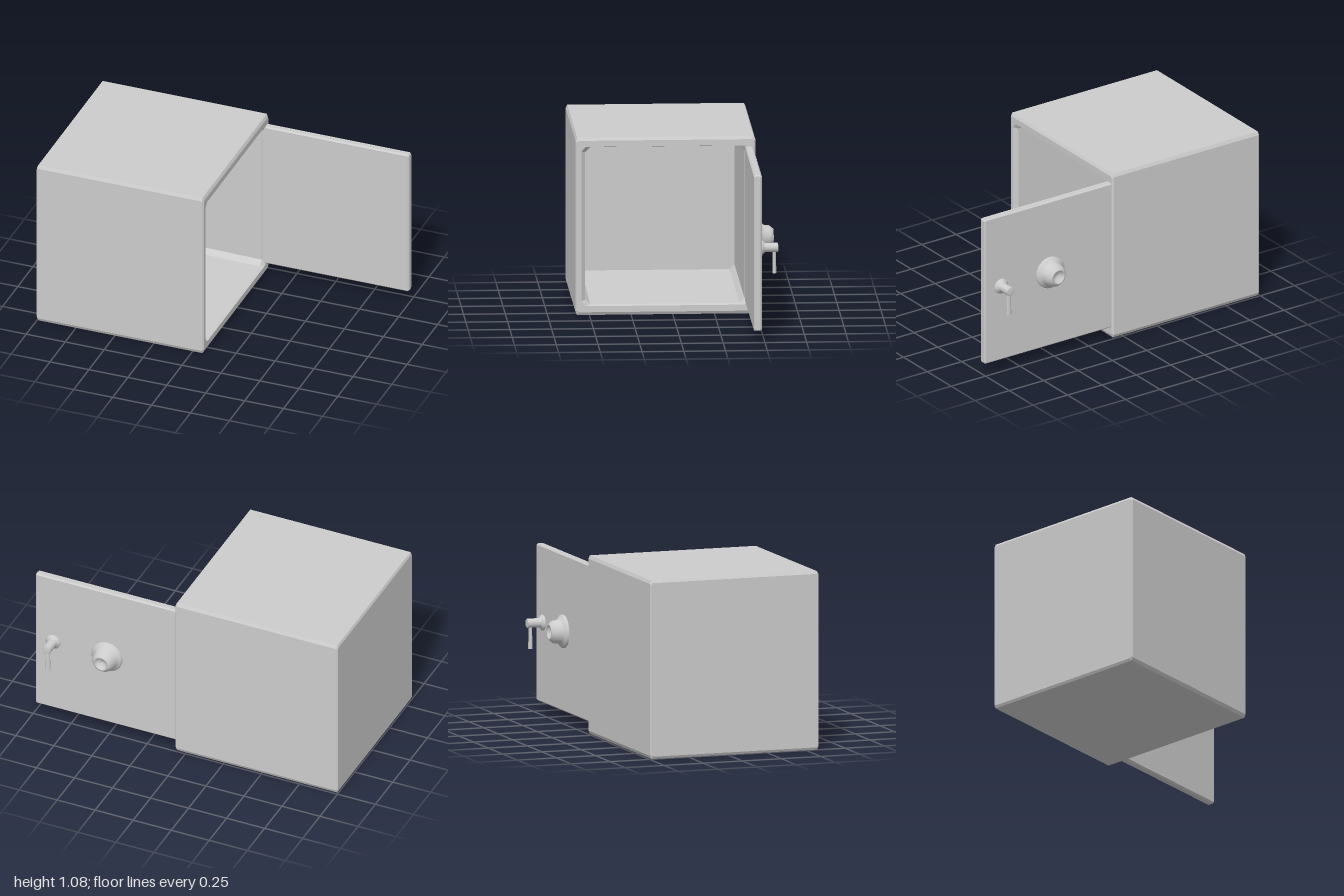
import * as THREE from 'three';

// Rectangle in the y/z plane at x with cut corners (cy high, cz deep)
function section(x, y0, y1, z0, z1, cy, cz) {
  return [
    [x, y1, z0 + cz], [x, y1, z1 - cz], [x, y1 - cy, z1], [x, y0 + cy, z1],
    [x, y0, z1 - cz], [x, y0, z0 + cz], [x, y0 + cy, z0], [x, y1 - cy, z0],
  ];
}

// Skin a run of sections and close both ends
function skin(loops) {
  const pos = [];
  const tri = (a, b, c) => pos.push(...a, ...b, ...c);
  for (let k = 0; k < loops.length - 1; k++) {
    const a = loops[k], b = loops[k + 1];
    for (let i = 0; i < 8; i++) {
      const j = (i + 1) % 8;
      tri(a[i], a[j], b[j]);
      tri(a[i], b[j], b[i]);
    }
  }
  const first = loops[0], last = loops[loops.length - 1];
  for (let i = 1; i < 7; i++) {
    tri(first[0], first[i + 1], first[i]);
    tri(last[0], last[i], last[i + 1]);
  }
  const g = new THREE.BufferGeometry();
  g.setAttribute('position', new THREE.Float32BufferAttribute(pos, 3));
  g.computeVertexNormals();
  return g;
}

// Turned part whose axis points out of the door (-z)
function turned(profile) {
  const pts = profile.map(([r, h]) => new THREE.Vector2(r, h));
  return new THREE.LatheGeometry(pts, 32).rotateX(-Math.PI / 2);
}

export function createModel() {
  const model = new THREE.Group();
  const metal = new THREE.MeshStandardMaterial({ color: 0xcccccc });
  metal.name = 'grey metal';
  const add = (name, geometry, parent = model) => {
    const mesh = new THREE.Mesh(geometry, metal);
    mesh.name = name;
    parent.add(mesh);
    return mesh;
  };

  // Hollow cabinet, open towards +x, with a slightly tapering interior
  add('cabinet', skin([
    section(-1, 0.015, 1.065, -0.488, 0.578, 0.012, 0.008),
    section(-0.992, 0, 1.08, -0.495, 0.583, 0.02, 0.01),
    section(0.062, 0, 1.08, -0.495, 0.583, 0.02, 0.01),
    section(0.072, 0.018, 1.062, -0.485, 0.573, 0.012, 0.008),
    section(0.072, 0.055, 1.025, -0.455, 0.548, 0.03, 0.025),
    section(0.05, 0.062, 1.02, -0.43, 0.525, 0.03, 0.03),
    section(-0.935, 0.08, 1.0, -0.425, 0.52, 0.03, 0.03),
  ]));

  // Door swung open, in line with the rear wall
  add('door', skin([
    section(0.055, 0.067, 1.018, -0.482, -0.434, 0.008, 0.008),
    section(0.985, 0.067, 1.018, -0.482, -0.434, 0.008, 0.008),
    section(0.994, 0.075, 1.01, -0.474, -0.442, 0.006, 0.006),
  ]));

  // Dial with a dished face
  const dial = add('dial', turned([
    [0.1, -0.004], [0.1, 0.012], [0.092, 0.018], [0.072, 0.035],
    [0.068, 0.07], [0.048, 0.095], [0.038, 0.095], [0.028, 0.075], [0, 0.07],
  ]));
  dial.position.set(0.52, 0.553, -0.482);

  // Handle: flared base, stem and a lever hanging down
  const handle = new THREE.Group();
  handle.name = 'handle';
  handle.position.set(0.875, 0.555, -0.482);
  add('handleStem', turned([
    [0.047, -0.004], [0.047, 0.008], [0.04, 0.014], [0.028, 0.026],
    [0.028, 0.1], [0.024, 0.104], [0, 0.104],
  ]), handle);
  const lever = add('handleLever', new THREE.CylinderGeometry(0.014, 0.017, 0.15, 16), handle);
  lever.scale.z = 0.72;
  lever.position.set(0, -0.08, -0.081);
  model.add(handle);

  return model;
}
